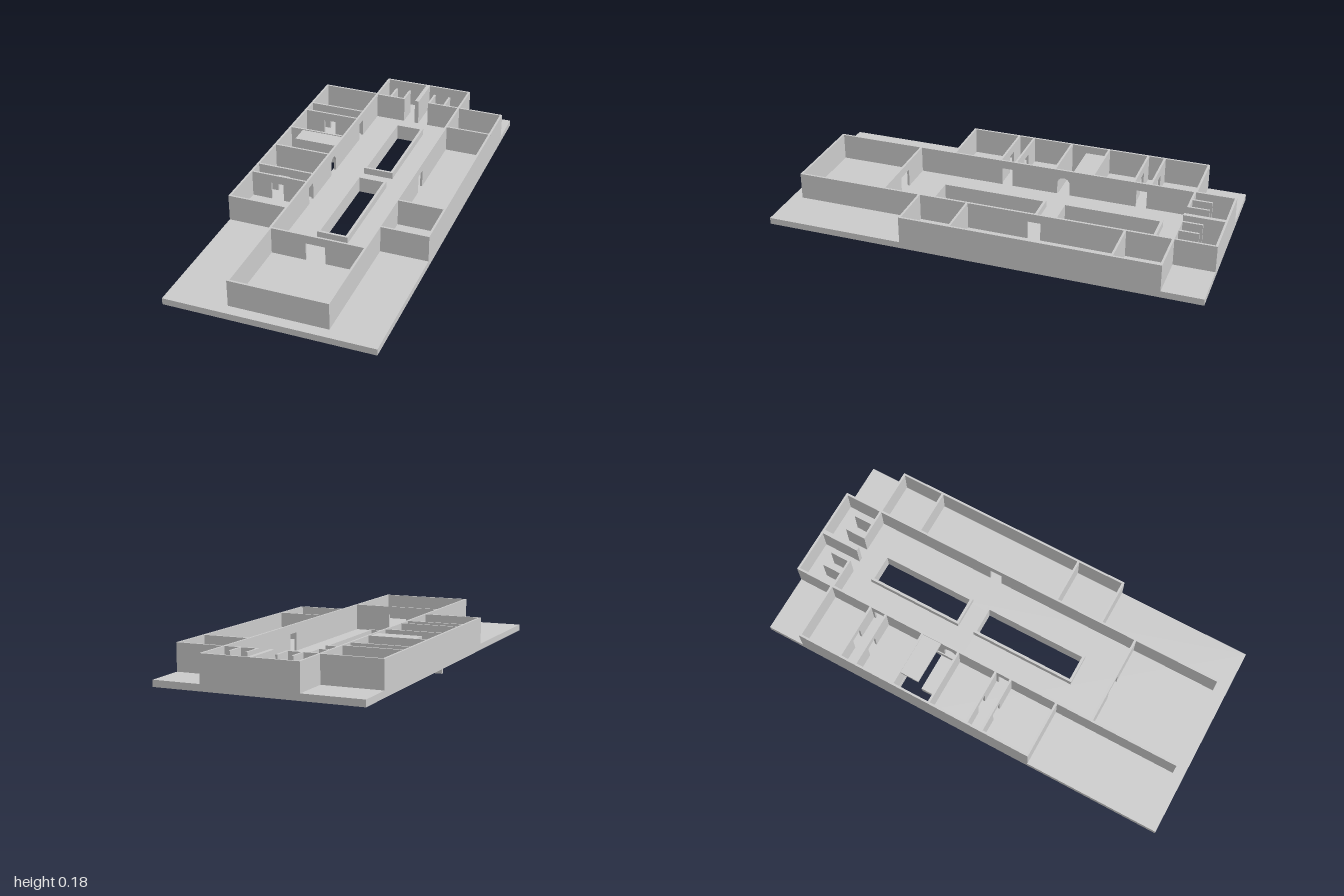
import * as THREE from 'three';

const FLOOR = 0.055, TOP = 0.18, T = 0.01, DOOR_H = 0.085;

export function createModel() {
  const model = new THREE.Group();
  const mat = new THREE.MeshStandardMaterial({ color: 0xcccccc, flatShading: true, side: THREE.DoubleSide });

  function add(name, geometry) {
    const mesh = new THREE.Mesh(geometry, mat);
    mesh.name = name;
    model.add(mesh);
    return mesh;
  }

  function box(name, x0, x1, y0, y1, z0, z1) {
    const g = new THREE.BoxGeometry(x1 - x0, y1 - y0, z1 - z0);
    add(name, g.translate((x0 + x1) / 2, (y0 + y1) / 2, (z0 + z1) / 2));
  }

  const rect = (Type, x0, x1, z0, z1) => new Type([
    new THREE.Vector2(x0, z0), new THREE.Vector2(x1, z0),
    new THREE.Vector2(x1, z1), new THREE.Vector2(x0, z1)]);

  // Horizontal plate with rectangular openings, each [x0, x1, z0, z1]
  function plate(name, outer, holes, y0, y1) {
    const shape = rect(THREE.Shape, ...outer);
    shape.holes = holes.map(h => rect(THREE.Path, ...h));
    const g = new THREE.ExtrudeGeometry(shape, { depth: y1 - y0, bevelEnabled: false });
    add(name, g.rotateX(Math.PI / 2).translate(0, y1, 0));
  }

  // Wall outline with door notches, each {at, w, arch}
  function wallGeometry(a, b, doors, t) {
    const s = new THREE.Shape();
    s.moveTo(a, FLOOR);
    for (const { at, w = 0.06, arch } of doors) {
      const r = w / 2, h = FLOOR + DOOR_H;
      s.lineTo(at - r, FLOOR);
      if (arch) {
        s.lineTo(at - r, h - r);
        s.absarc(at, h - r, r, Math.PI, 0, true);
      } else {
        s.lineTo(at - r, h);
        s.lineTo(at + r, h);
      }
      s.lineTo(at + r, FLOOR);
    }
    s.lineTo(b, FLOOR);
    s.lineTo(b, TOP);
    s.lineTo(a, TOP);
    return new THREE.ExtrudeGeometry(s, { depth: t, bevelEnabled: false, curveSegments: 8 });
  }

  // Wall running along x, centred on z
  function wallX(name, x0, x1, z, doors = [], t = T) {
    add(name, wallGeometry(x0, x1, doors, t).translate(0, 0, z - t / 2));
  }

  // Wall running along z, centred on x
  function wallZ(name, z0, z1, x, doors = [], t = T) {
    add(name, wallGeometry(z0, z1, doors, t).rotateY(-Math.PI / 2).translate(x + t / 2, 0, 0));
  }

  // Floor slab with two light wells and a stair opening
  const wells = [[-0.035, 0.085, -0.69, -0.245], [-0.035, 0.085, -0.14, 0.345]];
  const stairOpening = [-0.46, -0.2, -0.325, -0.15];
  plate('floorSlab', [-0.47, 0.47, -1, 1], [...wells, stairOpening], 0.025, FLOOR);

  // Low parapets lining the wells, hanging just below the slab
  for (const [x0, x1, z0, z1] of wells) {
    plate('wellParapet', [x0 - 0.012, x1 + 0.012, z0 - 0.012, z1 + 0.012], [[x0, x1, z0, z1]], 0.011, 0.087);
  }

  // Long walls of the central hall
  wallZ('hallWallRight', -1, 0.95, -0.19, [
    { at: -0.565, w: 0.05 }, { at: -0.19, arch: true }, { at: 0.088, w: 0.05 }]);
  wallZ('hallWallLeft', -1, 0.95, 0.245, [{ at: -0.19 }]);
  wallX('frontWall', -0.195, 0.25, 0.945);
  wallX('backWall', -0.195, 0.25, -0.995);
  wallX('frontRoomWall', -0.19, 0.245, 0.53, [{ at: 0.02, w: 0.09 }]);

  // Washroom block at the back
  wallX('washroomWall', -0.19, -0.04, -0.81);
  wallX('washroomWall', 0.085, 0.245, -0.81);
  wallZ('washroomDivider', -0.995, -0.805, 0.026, [], 0.02);
  for (const x of [-0.115, -0.045, 0.09, 0.168]) wallZ('stallWall', -0.905, -0.81, x);

  // Side wings
  wallZ('wingOuterWallRight', -0.82, 0.36, -0.465);
  wallZ('wingOuterWallLeft', -0.815, 0.36, 0.465);
  const passage = [{ at: -0.335 }];
  const rightWing = [[-0.815], [-0.605, passage], [-0.525, passage], [-0.332],
    [-0.145], [0.048, passage], [0.124, passage], [0.355]];
  for (const [z, doors] of rightWing) wallX('rightWingCrossWall', -0.47, -0.19, z, doors);
  for (const z of [-0.81, -0.6, 0.125, 0.355]) wallX('leftWingCrossWall', 0.245, 0.47, z);

  // Stair: upper landing, lower landing and the beam beneath it
  box('upperLanding', -0.4, -0.195, 0.163, 0.176, -0.327, -0.235);
  box('lowerLanding', -0.385, -0.2, 0.003, 0.03, -0.237, -0.15);
  box('stairBeam', -0.462, -0.2, 0, 0.025, -0.148, -0.133);

  return model;
}
